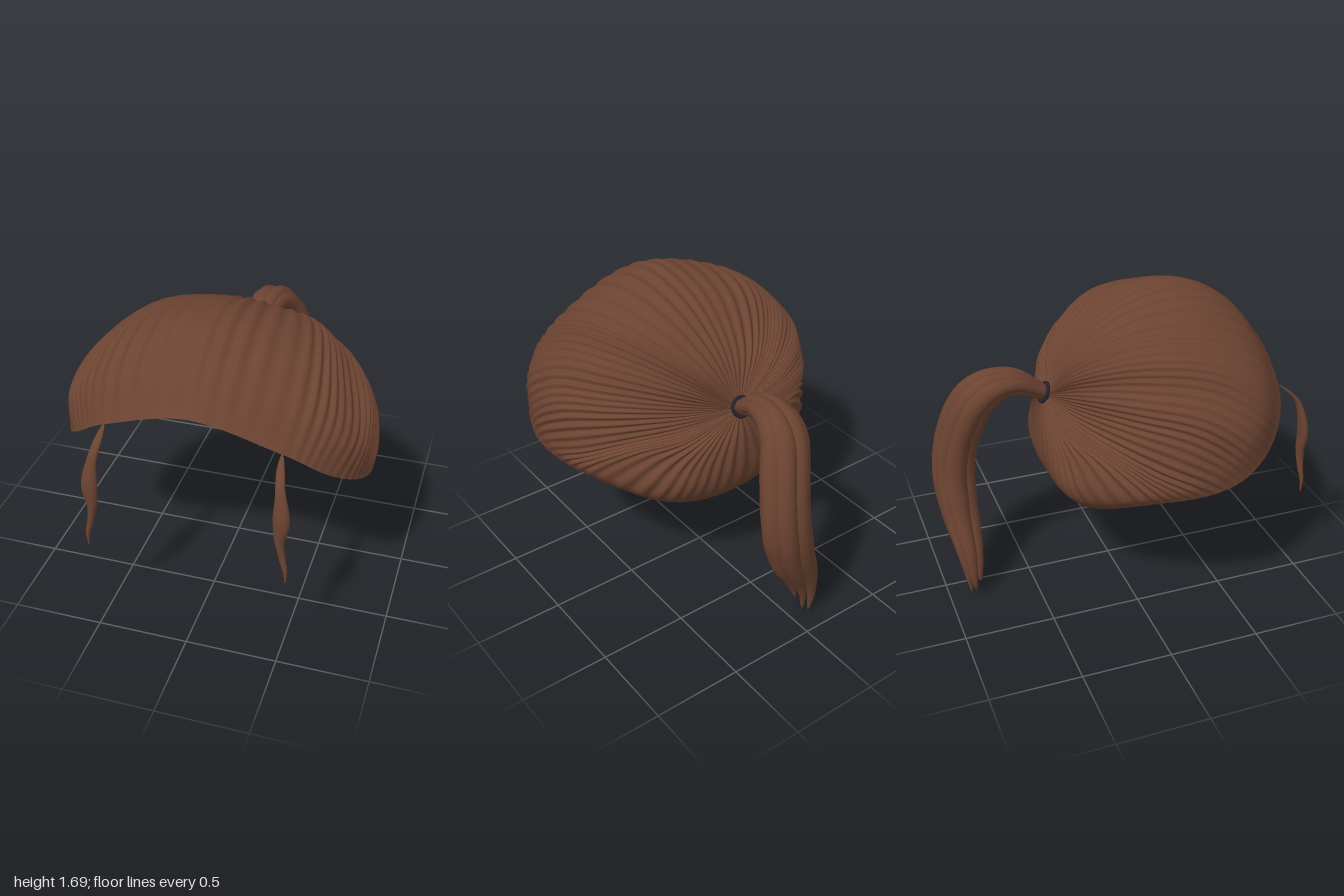
import * as THREE from 'three';

const hair = new THREE.MeshStandardMaterial({ color: 0x6b4331, side: THREE.DoubleSide });
const dark = new THREE.MeshStandardMaterial({ color: 0x25222a });
const V = (p) => new THREE.Vector3(...p);
const curve = (pts, closed = false) => new THREE.CatmullRomCurve3(pts.map(V), closed, 'centripetal');

function gridGeometry(rows, cols, pointAt, flip) {
  // rows run along the surface, columns wrap around it
  const pos = [], idx = [];
  for (let i = 0; i <= rows; i++)
    for (let j = 0; j < cols; j++) pos.push(...pointAt(i / rows, j / cols).toArray());
  for (let i = 0; i < rows; i++)
    for (let j = 0; j < cols; j++) {
      const a = i * cols + j, b = i * cols + (j + 1) % cols, c = a + cols, d = b + cols;
      if (flip) idx.push(a, c, b, b, c, d);
      else idx.push(a, b, c, b, d, c);
    }
  const g = new THREE.BufferGeometry();
  g.setAttribute('position', new THREE.Float32BufferAttribute(pos, 3));
  g.setIndex(idx);
  g.computeVertexNormals();
  return g;
}

// Tapered strand: elliptical sections along a path; width lies along x
function strandGeometry(path, width, depth, rows = 48, cols = 14) {
  const X = new THREE.Vector3(1, 0, 0);
  return gridGeometry(rows, cols, (t, s) => {
    const T = path.getTangentAt(t);
    const side = X.clone().addScaledVector(T, -X.dot(T)).normalize();
    const out = T.clone().cross(side);
    const a = s * Math.PI * 2;
    return path.getPointAt(t)
      .addScaledVector(side, Math.cos(a) * width(t))
      .addScaledVector(out, Math.sin(a) * depth(t));
  }, false);
}

function add(group, name, geometry, material) {
  const m = new THREE.Mesh(geometry, material);
  m.name = name;
  group.add(m);
  return m;
}

// Gathered cap: meridians fan out from the tie to the hairline
function capGeometry() {
  const pole = [0, 1.13, -0.36];
  const half = [
    [[0, 1.40, -0.22], [0, 1.62, 0.07], [0, 1.68, 0.42], [0, 1.56, 0.69], [0, 1.35, 0.87]],
    [[0.20, 1.37, -0.24], [0.38, 1.54, 0.04], [0.46, 1.54, 0.38], [0.48, 1.41, 0.66], [0.45, 1.21, 0.82]],
    [[0.29, 1.30, -0.26], [0.55, 1.40, 0.00], [0.68, 1.37, 0.32], [0.74, 1.22, 0.57], [0.67, 1.05, 0.71]],
    [[0.33, 1.22, -0.29], [0.63, 1.25, -0.07], [0.79, 1.20, 0.20], [0.83, 1.06, 0.40], [0.80, 0.92, 0.52]],
    [[0.35, 1.13, -0.31], [0.62, 1.08, -0.15], [0.77, 1.00, 0.03], [0.83, 0.92, 0.20], [0.83, 0.85, 0.30]],
    [[0.33, 1.04, -0.32], [0.55, 0.98, -0.20], [0.68, 0.90, -0.10], [0.73, 0.83, -0.03], [0.72, 0.78, 0.01]],
    [[0.20, 1.00, -0.37], [0.33, 0.88, -0.36], [0.40, 0.77, -0.35], [0.42, 0.69, -0.31], [0.40, 0.62, -0.25]],
    [[0, 1.00, -0.395], [0, 0.88, -0.405], [0, 0.77, -0.40], [0, 0.66, -0.37], [0, 0.56, -0.31]],
  ];
  const mirrored = half.slice(1, -1).reverse().map((m) => m.map(([x, y, z]) => [-x, y, z]));
  const meridians = [...half, ...mirrored].map((m) => curve([pole, ...m]));
  const rows = 44, cols = 560, rings = new Map();
  const g = gridGeometry(rows, cols, (v, u) => {
    if (!rings.has(v))
      rings.set(v, new THREE.CatmullRomCurve3(meridians.map((m) => m.getPoint(v)), true, 'catmullrom', 0.5));
    return rings.get(v).getPoint(u);
  }, true);

  // Ridges of combed hair, fading at the tie and the hairline
  const p = g.attributes.position, n = g.attributes.normal.clone();
  for (let i = 0; i <= rows; i++)
    for (let j = 0; j < cols; j++) {
      const k = i * cols + j, v = i / rows, u = (j / cols) * Math.PI * 2;
      const fade = Math.min(1, v * 5) * Math.min(1, 0.15 + (1 - v) * 3);
      const d = 0.009 * fade * Math.cos(70 * u + 1.2 * Math.sin(9 * u)) * (0.75 + 0.25 * Math.sin(13 * u));
      p.setXYZ(k, p.getX(k) + n.getX(k) * d, p.getY(k) + n.getY(k) * d, p.getZ(k) + n.getZ(k) * d);
    }
  g.computeVertexNormals();
  return g;
}

// Ponytail: a bundle of strands offset around one sweeping path
function buildPonytail() {
  const group = new THREE.Group();
  group.name = 'ponytail';
  const center = curve([
    [0, 1.13, -0.34], [0, 1.19, -0.43], [0, 1.25, -0.58], [0.02, 1.19, -0.73], [0.08, 0.98, -0.83],
    [0.10, 0.74, -0.88], [0.05, 0.50, -0.88], [-0.05, 0.28, -0.86], [-0.09, 0.12, -0.85], [-0.09, 0, -0.845],
  ]);
  // sideways offset, outward offset, length along the path
  const strands = [
    [-0.085, 0.01, 0.985], [-0.045, 0.045, 1], [0.04, 0.05, 0.97], [0.085, 0.01, 0.92],
    [0.045, -0.045, 0.94], [-0.045, -0.045, 0.96], [0, 0, 0.99],
  ];
  const radius = (t) => 0.062 * Math.min(1, 0.3 + 2.6 * t) * Math.pow(Math.max(0, Math.min(1, (1 - t) / 0.35)), 0.7) + 0.002;
  strands.forEach(([a, b, end], i) => {
    const pts = [];
    for (let s = 0; s <= 14; s++) {
      const t = (s / 14) * end, T = center.getTangentAt(t);
      const spread = Math.min(1, 0.22 + 2.4 * t) * (t > 0.75 ? 1 - (t - 0.75) * 1.6 : 1);
      const out = new THREE.Vector3(0, -T.z, T.y).normalize();
      pts.push(center.getPointAt(t).addScaledVector(out, b * spread).add(new THREE.Vector3(a * spread, 0, 0)).toArray());
    }
    add(group, `ponytailStrand${i + 1}`, strandGeometry(curve(pts), radius, radius, 60, 16), hair);
  });
  return group;
}

export function createModel() {
  const model = new THREE.Group();
  model.name = 'hairstyle';
  add(model, 'hairCap', capGeometry(), hair);
  model.add(buildPonytail());

  // Hair tie around the root of the ponytail
  const tie = add(model, 'hairTie', new THREE.TorusGeometry(0.052, 0.011, 10, 32), dark);
  tie.position.set(0, 1.152, -0.373);
  tie.rotation.x = 0.42;

  // Loose wavy locks at the temples
  const wide = (t) => 0.004 + 0.036 * Math.pow(Math.sin(Math.PI * Math.pow(t, 0.8)), 1.1) * (0.92 + 0.2 * Math.cos(t * 13));
  const deep = (t) => 0.004 + 0.022 * Math.pow(Math.sin(Math.PI * Math.pow(t, 1.1)), 1.2);
  for (const s of [1, -1]) {
    const path = curve([
      [s * 0.462, 1.21, 0.82], [s * 0.47, 1.16, 0.88], [s * 0.482, 1.10, 0.93], [s * 0.497, 1.0, 0.96],
      [s * 0.502, 0.90, 0.97], [s * 0.496, 0.80, 0.968], [s * 0.51, 0.70, 0.97], [s * 0.53, 0.61, 0.977], [s * 0.532, 0.54, 0.975],
    ]);
    add(model, s > 0 ? 'leftTempleLock' : 'rightTempleLock', strandGeometry(path, wide, deep), hair);
  }
  return model;
}
